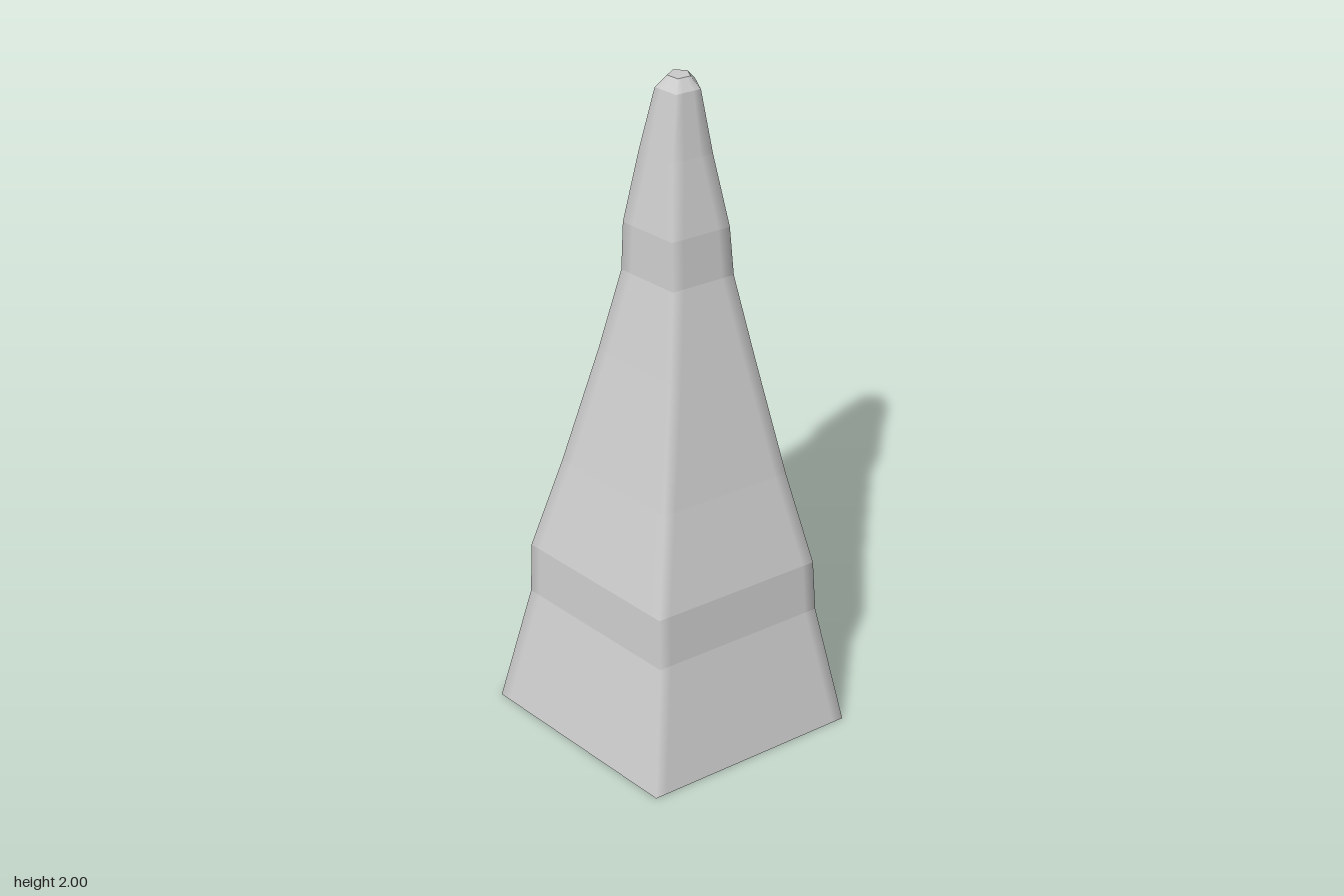
import * as THREE from 'three';

// Rings of the spire from foot to tip: height, radius, x of the centre
const RINGS = [
  [0, 0.55, -0.054], [0.4, 0.442, -0.05], [0.57, 0.43, -0.052], [0.86, 0.332, -0.047],
  [1.22, 0.224, -0.04], [1.46, 0.157, -0.038], [1.6, 0.147, -0.041], [1.8, 0.1, -0.043],
  [1.97, 0.061, -0.038], [2, 0.031, -0.036],
];
const SIDES = 5;
const STEP = (Math.PI * 2) / SIDES;

function corner([y, r, cx], i) {
  return new THREE.Vector3(cx + r * Math.cos(i * STEP), y, -r * Math.sin(i * STEP));
}

// Pentagonal walls: flat faces whose shading softens in a narrow strip at each corner
function wallGeometry() {
  const positions = [], normals = [];
  const addVertex = (p, n) => { positions.push(p.x, p.y, p.z); normals.push(n.x, n.y, n.z); };

  for (let k = 0; k < RINGS.length - 1; k++) {
    const low = RINGS[k], high = RINGS[k + 1];
    const faceNormal = (i) => {
      const a = corner(low, i);
      const across = corner(low, i + 1).sub(a);
      return across.cross(corner(high, i).sub(a)).normalize();
    };
    for (let i = 0; i < SIDES; i++) {
      const n = faceNormal(i);
      const soft = [faceNormal(i - 1).add(n).normalize(), n, n, faceNormal(i + 1).add(n).normalize()];
      const row = (ring) => {
        const a = corner(ring, i), b = corner(ring, i + 1);
        const t = Math.min(0.3, 0.035 / a.distanceTo(b));
        return [0, t, 1 - t, 1].map((f) => a.clone().lerp(b, f));
      };
      const lo = row(low), hi = row(high);
      for (let j = 0; j < 3; j++) {
        addVertex(lo[j], soft[j]); addVertex(lo[j + 1], soft[j + 1]); addVertex(hi[j + 1], soft[j + 1]);
        addVertex(lo[j], soft[j]); addVertex(hi[j + 1], soft[j + 1]); addVertex(hi[j], soft[j]);
      }
    }
  }
  const geometry = new THREE.BufferGeometry();
  geometry.setAttribute('position', new THREE.Float32BufferAttribute(positions, 3));
  geometry.setAttribute('normal', new THREE.Float32BufferAttribute(normals, 3));
  return geometry;
}

export function createModel() {
  const model = new THREE.Group();
  model.name = 'spire';
  const material = new THREE.MeshStandardMaterial({ color: 0xcccccc, side: THREE.DoubleSide });

  // Hollow walls, open at the foot
  const walls = new THREE.Mesh(wallGeometry(), material);
  walls.name = 'spireWalls';

  // Flat pentagon closing the tip
  const [y, r, cx] = RINGS[RINGS.length - 1];
  const tip = new THREE.Mesh(new THREE.CircleGeometry(r, SIDES).rotateX(-Math.PI / 2), material);
  tip.position.set(cx, y, 0);
  tip.name = 'tipCap';

  model.add(walls, tip);
  return model;
}
